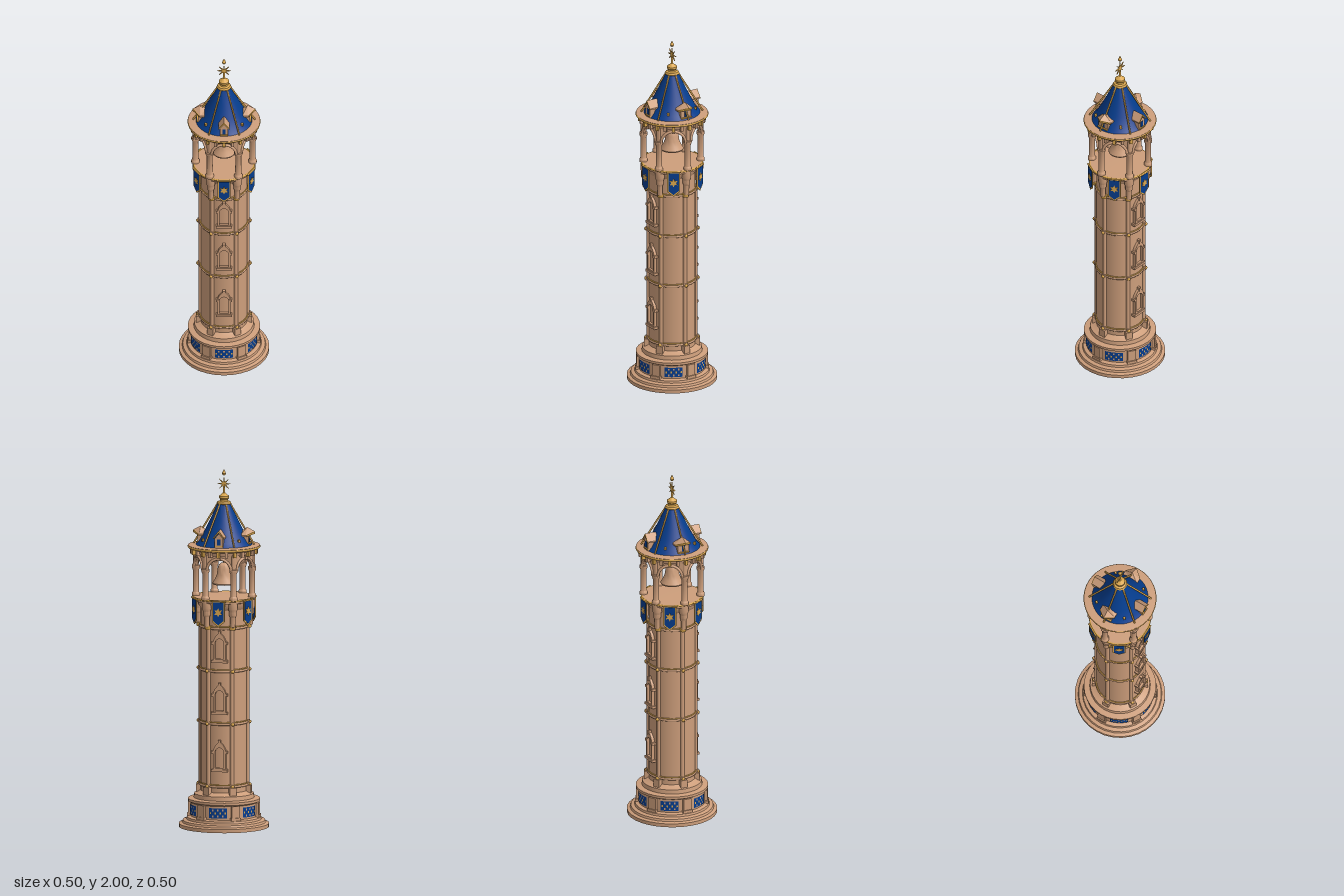
import * as THREE from 'three';
import { toCreasedNormals } from 'three/addons/utils/BufferGeometryUtils.js';

const material = (name, color) => Object.assign(new THREE.MeshStandardMaterial({ color }), { name });

export function createModel() {
  const stone = material('sandstone', 0xcd9e7b);
  const gold = material('gold', 0xdba74e);
  const blue = material('royal blue', 0x053c8c);
  const tower = new THREE.Group();
  tower.name = 'bellTower';

  const add = (parent, name, geo, mat, x = 0, y = 0, z = 0) => {
    const m = new THREE.Mesh(geo, mat);
    m.name = name;
    m.position.set(x, y, z);
    parent.add(m);
    return m;
  };
  const box = (w, h, d) => new THREE.BoxGeometry(w, h, d);
  const cyl = (r1, r2, h, n = 12) => new THREE.CylinderGeometry(r1, r2, h, n);
  const lathe = (pts, n = 32) =>
    toCreasedNormals(new THREE.LatheGeometry(pts.map(p => new THREE.Vector2(...p)), n), 0.6);
  const extrude = (shape, depth, steps = 1) =>
    new THREE.ExtrudeGeometry(shape, { depth, steps, bevelEnabled: false, curveSegments: 12 });
  const polygon = pts => new THREE.Shape(pts.map(p => new THREE.Vector2(...p)));
  // Repeats a part around the axis; each copy is built facing +z
  const around = (name, count, offset, build) => {
    for (let i = 0; i < count; i++) {
      const g = new THREE.Group();
      g.name = name;
      g.rotation.y = offset + (i * Math.PI * 2) / count;
      build(g, i);
      tower.add(g);
    }
  };
  const ring = (name, r, tube, y, mat) =>
    add(tower, name, new THREE.TorusGeometry(r, tube, 8, 40), mat, 0, y).rotation.x = Math.PI / 2;
  const half = Math.PI / 6;

  // Stepped plinth and shaft
  add(tower, 'plinth', lathe([[0, 0], [0.25, 0], [0.25, 0.02], [0.232, 0.026], [0.228, 0.038], [0.208, 0.044],
    [0.205, 0.056], [0.185, 0.062], [0.185, 0.138], [0.2, 0.146], [0.2, 0.16], [0.168, 0.165],
    [0.165, 0.188], [0.145, 0.195], [0.13, 0.205]]), stone);
  add(tower, 'shaft', new THREE.CylinderGeometry(0.129, 0.129, 1.08, 40, 1, true), stone, 0, 0.74);
  for (const y of [0.24, 0.59, 0.885, 1.125]) {
    ring('stringCourse', 0.131, 0.008, y, stone);
    ring('goldBand', 0.1335, 0.0035, y + 0.009, gold);
  }

  // Mosaic panels on the plinth
  around('mosaicPanel', 6, 0, g => {
    const arc = (r, h, w, a) => new THREE.CylinderGeometry(r, r, h, 8, 1, true, a - w / 2, w);
    add(g, 'panel', arc(0.188, 0.056, 0.54, 0), blue, 0, 0.1);
    for (let c = -3; c <= 3; c++)
      for (let r = -1; r <= 1; r++)
        if ((c + r) % 2) add(g, 'tile', arc(0.1892, 0.011, 0.045, c * 0.074), r ? stone : gold, 0, 0.1 + r * 0.017);
  });

  // Attached columns, plinth pilasters and corbels
  around('column', 6, half, g => {
    add(g, 'pilaster', box(0.046, 0.078, 0.03), stone, 0, 0.1, 0.182);
    add(g, 'pilasterFoot', box(0.056, 0.016, 0.036), stone, 0, 0.066, 0.185);
    add(g, 'columnFoot', box(0.038, 0.05, 0.034), stone, 0, 0.21, 0.138);
    add(g, 'attachedColumn', cyl(0.011, 0.011, 0.9), stone, 0, 0.67, 0.131);
    for (const y of [0.24, 0.59, 0.885]) {
      add(g, 'columnCollar', cyl(0.015, 0.015, 0.022), stone, 0, y, 0.132);
      add(g, 'goldBoss', new THREE.SphereGeometry(0.01, 10, 8), gold, 0, y, 0.144);
    }
    add(g, 'goldCollar', cyl(0.02, 0.016, 0.022), gold, 0, 1.128, 0.137);
    add(g, 'corbel', lathe([[0, 1.13], [0.015, 1.135], [0.016, 1.19], [0.021, 1.2], [0.021, 1.22],
      [0.026, 1.235], [0.026, 1.275]], 12), stone, 0, 0, 0.147);
  });

  // Traceried blind windows on front and back
  const frame = new THREE.Shape();
  frame.moveTo(-0.036, 0);
  frame.lineTo(0.036, 0);
  frame.lineTo(0.036, 0.1);
  frame.quadraticCurveTo(0.034, 0.135, 0, 0.16);
  frame.quadraticCurveTo(-0.034, 0.135, -0.036, 0.1);
  const opening = new THREE.Path();
  opening.moveTo(-0.024, 0.012);
  opening.lineTo(0.024, 0.012);
  opening.lineTo(0.024, 0.1);
  opening.absarc(0, 0.1, 0.024, 0, Math.PI);
  frame.holes.push(opening);
  around('windows', 2, 0, g => {
    for (const y of [0.335, 0.655, 0.945]) {
      add(g, 'windowFrame', extrude(frame, 0.02), stone, 0, y, 0.122);
      add(g, 'windowSill', box(0.09, 0.014, 0.034), stone, 0, y - 0.003, 0.129);
      for (const s of [-1, 1]) add(g, 'windowCapital', box(0.02, 0.014, 0.03), stone, s * 0.035, y + 0.1, 0.129);
      add(g, 'keystone', box(0.014, 0.022, 0.024), stone, 0, y + 0.157, 0.134);
    }
  });

  // Belfry floor
  add(tower, 'belfryFloor', lathe([[0.129, 1.225], [0.142, 1.245], [0.145, 1.262], [0.168, 1.268],
    [0.168, 1.288], [0, 1.292]]), stone);
  ring('floorTrim', 0.167, 0.006, 1.283, gold);

  // Hanging banners
  const bannerShape = (w, top, side, tip) => polygon([[-w, top], [-w, side], [0, tip], [w, side], [w, top]]);
  const star = (outer, inner, n) => polygon(Array.from({ length: n * 2 }, (_, i) => {
    const r = i % 2 ? inner : outer, a = (i * Math.PI) / n;
    return [Math.sin(a) * r, Math.cos(a) * r];
  }));
  around('banner', 6, 0, g => {
    add(g, 'bannerBorder', extrude(bannerShape(0.036, 1.285, 1.17, 1.14), 0.005), gold, 0, 0, 0.17);
    for (const z of [0.1685, 0.1745])
      add(g, 'bannerCloth', extrude(bannerShape(0.029, 1.278, 1.175, 1.151), 0.002), blue, 0, 0, z);
    add(g, 'bannerEmblem', extrude(star(0.025, 0.013, 6), 0.002), gold, 0, 1.222, 0.1765);
    add(g, 'bannerRod', cyl(0.005, 0.005, 0.084, 8), gold, 0, 1.285, 0.173).rotation.z = Math.PI / 2;
  });

  // Open belfry: columns, capitals and arches
  around('belfryColumn', 6, half, g => {
    add(g, 'column', lathe([[0, 1.285], [0.023, 1.285], [0.023, 1.3], [0.0175, 1.308], [0.0165, 1.43],
      [0.023, 1.445], [0.023, 1.458], [0.016, 1.46], [0.016, 1.54]], 14), stone, 0, 0, 0.158);
  });
  const spandrel = new THREE.Shape();
  spandrel.moveTo(-0.08, 1.45);
  spandrel.lineTo(-0.064, 1.45);
  spandrel.absarc(0, 1.45, 0.064, Math.PI, 0, true);
  spandrel.lineTo(0.08, 1.45);
  spandrel.lineTo(0.08, 1.545);
  spandrel.lineTo(-0.08, 1.545);
  around('belfryArch', 6, 0, g => {
    add(g, 'spandrel', extrude(spandrel, 0.02), stone, 0, 0, 0.13);
    add(g, 'archMoulding', new THREE.TorusGeometry(0.068, 0.008, 8, 20, Math.PI), stone, 0, 1.45, 0.152);
    add(g, 'keystone', box(0.018, 0.028, 0.03), stone, 0, 1.524, 0.15);
  });

  // Bell on its hanger
  add(tower, 'bell', lathe([[0.05, 1.365], [0.062, 1.355], [0.064, 1.362], [0.05, 1.385], [0.04, 1.41],
    [0.036, 1.44], [0.03, 1.462], [0.016, 1.474], [0, 1.477]], 24), stone);
  add(tower, 'bellUnderside', cyl(0.045, 0.056, 0.012, 24), stone, 0, 1.366);
  add(tower, 'bellHanger', cyl(0.007, 0.007, 0.09, 8), stone, 0, 1.515);

  // Cornice with brackets and gilded rim
  add(tower, 'cornice', lathe([[0, 1.535], [0.168, 1.535], [0.172, 1.552], [0.196, 1.56], [0.199, 1.575],
    [0.165, 1.579], [0.14, 1.58]], 40), stone);
  ring('corniceRim', 0.195, 0.007, 1.568, gold);
  around('corniceBracket', 24, 0, (g, i) => {
    add(g, 'bracket', box(0.016, 0.03, 0.026), i % 2 ? stone : gold, 0, 1.543, 0.174);
  });

  // Flared spire with gilded ribs
  add(tower, 'spire', lathe([[0.157, 1.578], [0.137, 1.6], [0.107, 1.655], [0.07, 1.73], [0.034, 1.812]], 40), blue);
  around('spireRib', 6, half, g => {
    const path = new THREE.LineCurve3(new THREE.Vector3(0, 1.582, 0.17), new THREE.Vector3(0, 1.808, 0.034));
    add(g, 'rib', new THREE.TubeGeometry(path, 1, 0.005, 8), gold);
  });
  for (const a of [0.84, -0.84, Math.PI + 0.84, Math.PI - 0.84])
    add(tower, 'spireStud', box(0.012, 0.014, 0.012), gold, Math.sin(a) * 0.135, 1.612, Math.cos(a) * 0.135).rotation.y = a;

  // Dormers: straight gables front and back, wider hoods with a pointed brow on the sides
  around('dormer', 4, 0, (g, i) => {
    const side = i % 2, w = side ? 0.034 : 0.023, e = side ? 0.047 : 0.031;
    const body = extrude(polygon([[-w, 1.578], [w, 1.578], [w, 1.634], [0, 1.66], [-w, 1.634]]), 0.058);
    const gable = polygon([[-e, 1.63], [0, 1.666], [e, 1.63], [e, 1.638], [0, 1.678], [-e, 1.638]]);
    const roof = extrude(gable, 0.062, 2);
    const trim = extrude(gable, 0.004);
    // Sweeps the eaves back and lets the ridge fall away from its middle
    const shapeHood = (geo, start) => {
      const p = geo.attributes.position;
      for (let k = 0; k < p.count; k++) {
        const z = p.getZ(k) + start, x = Math.abs(p.getX(k));
        p.setY(k, p.getY(k) - Math.abs(z - 0.031) * 0.7 * (1 - x / e));
        if (z > 0.032) p.setZ(k, p.getZ(k) + 0.008 - x * 0.8);
      }
      geo.computeVertexNormals();
    };
    if (side) {
      shapeHood(roof, 0);
      shapeHood(trim, 0.062);
    }
    add(g, 'dormerWall', body, stone, 0, 0, side ? 0.085 : 0.1);
    add(g, 'dormerRoof', roof, stone, 0, 0, 0.1);
    add(g, 'dormerTrim', trim, gold, 0, 0, 0.162);
    add(g, 'dormerPane', box(0.018, 0.034, 0.004), blue, 0, 1.612, side ? 0.143 : 0.158);
    add(g, 'dormerSill', box(w * 2, 0.006, 0.012), gold, 0, 1.59, side ? 0.145 : 0.158);
  });

  // Finial, compass star and floating drop
  add(tower, 'finial', lathe([[0.036, 1.8], [0.041, 1.808], [0.036, 1.818], [0.024, 1.822], [0.022, 1.83], [0.029, 1.838],
    [0.028, 1.848], [0.015, 1.858], [0.007, 1.866], [0.005, 1.9], [0, 1.94]], 12), gold);
  add(tower, 'compassStar', extrude(star(0.04, 0.011, 8), 0.006), gold, 0, 1.916, -0.003);
  add(tower, 'drop', lathe([[0, 1.962], [0.009, 1.967], [0.011, 1.974], [0.007, 1.985], [0, 2]], 12), gold);

  return tower;
}
